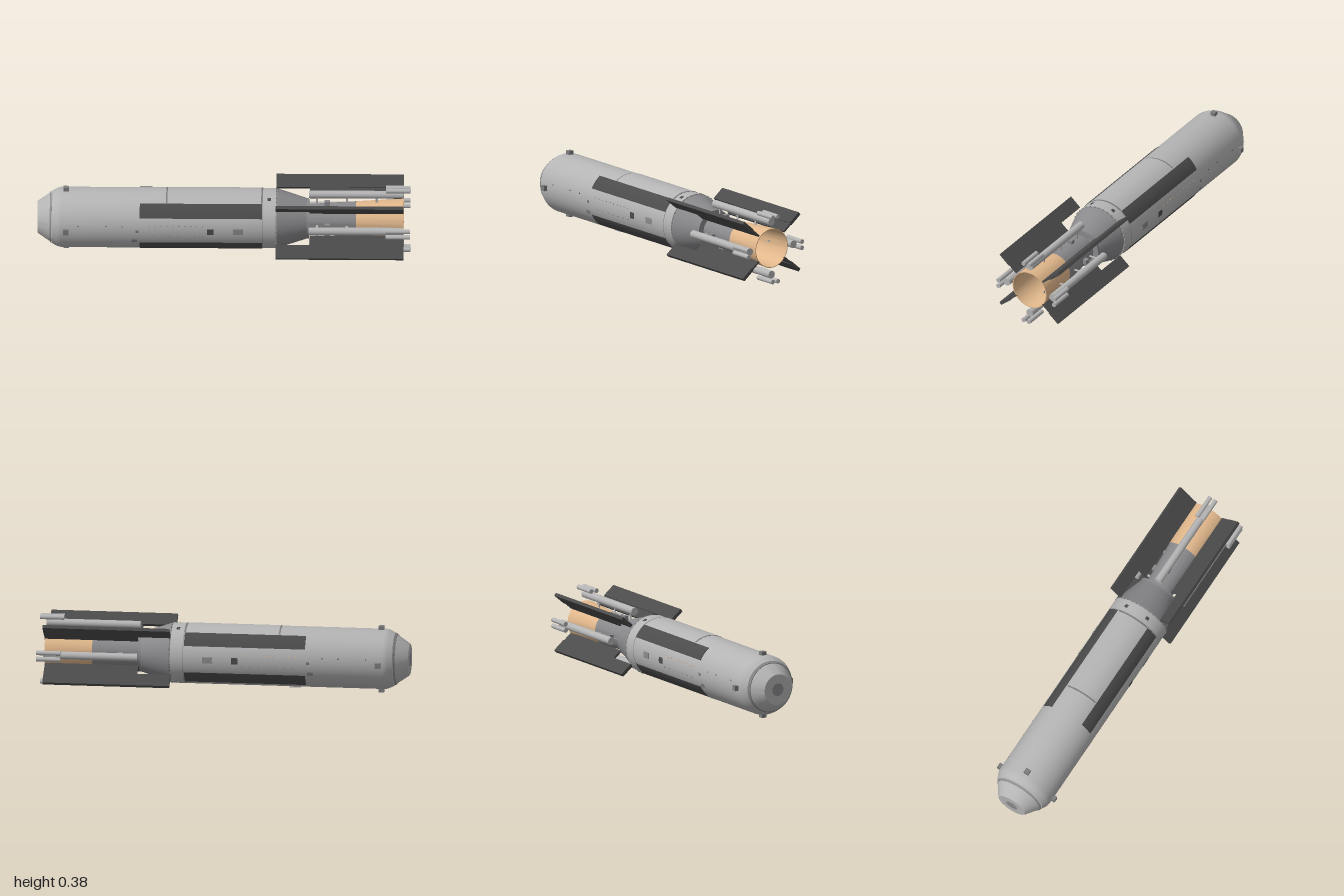
import * as THREE from 'three';
import { toCreasedNormals } from 'three/addons/utils/BufferGeometryUtils.js';

const R = 0.162; // main body radius
const AXIS_Y = 0.193; // height of the long axis
const deg = Math.PI / 180;

export function createModel() {
  const model = new THREE.Group();
  model.name = 'spacecraft';
  const craft = new THREE.Group();
  craft.name = 'craft';
  craft.position.y = AXIS_Y;
  model.add(craft);

  const mat = (name, color) => {
    const m = new THREE.MeshStandardMaterial({ color, side: THREE.DoubleSide });
    m.name = name;
    return m;
  };
  const lightGrey = mat('lightGrey', 0xb4b4b4);
  const midGrey = mat('midGrey', 0x8a8a8d);
  const patchGrey = mat('patchGrey', 0x7c7c7c);
  const darkGrey = mat('darkGrey', 0x4b4b4b);
  const tan = mat('tan', 0xe2b88c);

  const add = (name, geometry, material, parent = craft) => {
    const mesh = new THREE.Mesh(geometry, material);
    mesh.name = name;
    parent.add(mesh);
    return mesh;
  };

  // Surface of revolution about the x axis, from [x, radius] pairs
  const turned = (pairs, start = 0, length = Math.PI * 2, segments = 64) => {
    const g = new THREE.LatheGeometry(pairs.map(([x, r]) => new THREE.Vector2(r, x)), segments, start, length);
    g.rotateZ(-Math.PI / 2);
    return toCreasedNormals(g, 0.3);
  };

  // Thin curved plate on the body; angles run from +z (0) up to +y (90)
  const plate = (name, x0, x1, a0, a1, material, lift = 0.002) =>
    add(name, turned([[x0, R - 0.002], [x0, R + lift], [x1, R + lift], [x1, R - 0.002]],
      -a1 * deg, (a1 - a0) * deg, Math.max(2, Math.ceil((a1 - a0) / 5))), material);

  const rod = (name, x0, x1, r, y, z, material, parent) => {
    const g = new THREE.CylinderGeometry(r, r, x1 - x0, 24);
    g.rotateZ(-Math.PI / 2);
    add(name, g, material, parent).position.set((x0 + x1) / 2, y, z);
  };

  const box = (name, x0, x1, y0, y1, z0, z1, material, parent) =>
    add(name, new THREE.BoxGeometry(x1 - x0, y1 - y0, z1 - z0), material, parent)
      .position.set((x0 + x1) / 2, (y0 + y1) / 2, (z0 + z1) / 2);

  // Nose and main body
  add('nose', turned([[-1, 0], [-1, 0.083], [-0.993, 0.09], [-0.925, 0.136]]), lightGrey);
  add('noseRing', turned([[-0.933, 0.128], [-0.933, 0.134], [-0.925, 0.14], [-0.925, 0.12]]), midGrey);
  add('body', turned([[-0.925, 0.12], [-0.92, 0.142], [-0.895, 0.155], [-0.885, 0.159], [-0.87, R],
    [0.28, R], [0.28, 0.155]]), lightGrey);
  add('noseHub', turned([[-1.0005, 0], [-1.0005, 0.035], [-0.998, 0.035]]), midGrey);

  // Tail cone with its bolted ring
  add('tailCone', turned([[0.28, 0.158], [0.287, 0.16], [0.445, 0.109], [0.457, 0.109], [0.457, 0]]), midGrey);
  for (let i = 0; i < 36; i++) {
    const a = i * 10 * deg;
    const bolt = add('ringBolt', new THREE.BoxGeometry(0.007, 0.005, 0.007), patchGrey);
    bolt.position.set(0.283, Math.sin(a) * 0.16, Math.cos(a) * 0.16);
    bolt.rotation.x = -a;
  }

  // Engine bell: grey upper half, tan skirt and lining, throat disc
  add('bellUpper', turned([[0.457, 0.077], [0.55, 0.083], [0.71, 0.093]]), midGrey);
  add('bellSkirt', turned([[0.71, 0.093], [0.85, 0.102], [0.965, 0.108], [0.965, 0.104],
    [0.85, 0.098], [0.71, 0.089], [0.55, 0.079], [0.47, 0.071]]), tan);
  add('throat', turned([[0.474, 0.073], [0.474, 0]]), midGrey);

  // Four long dark panels along the body
  for (const a of [40.5, 139.5, 220.5, 319.5]) plate('sidePanel', -0.45, 0.205, a - 14.5, a + 14.5, darkGrey, 0.003);

  // Top bands and body seam
  for (const x of [-0.305, 0.205]) plate('topBand', x - 0.004, x + 0.004, 57, 123, patchGrey, 0.001);
  plate('topCover', -0.3, 0.2, 58, 122, lightGrey, 0.002);
  add('bodySeam', turned([[0.208, R], [0.208, R + 0.0007], [0.211, R + 0.0007], [0.211, R]]), midGrey);

  // Small hatches and sensors on both flanks
  for (const c of [0, 180]) {
    const s = c ? -1 : 1;
    const hatch = (x, w, up, h, m) => plate('hatch', x - w / 2, x + w / 2, c + s * up - h / 2, c + s * up + h / 2, m);
    hatch(-0.07, 0.035, 0, 12, darkGrey);
    hatch(0.078, 0.052, 0, 12, midGrey);
    hatch(-0.478, 0.03, -22, 8, midGrey);
    hatch(-0.465, 0.016, 0, 5, patchGrey);
    hatch(0.245, 0.018, 66, 7, darkGrey);
    hatch(0.255, 0.012, -62, 4, darkGrey);
    for (const x of [-0.78, -0.63, -0.545]) hatch(x, 0.006, 10, 2, darkGrey);
    for (let i = 0; i < 10; i++) hatch(-0.4 + i * 0.032, 0.006, 11, 2, c ? tan : midGrey);
    for (let i = 0; i < 7; i++) hatch(-0.38 + i * 0.045, 0.005, -11, 2, midGrey);
  }
  // Belly bracket
  box('bellyBracket', -0.41, -0.35, -0.167, -0.15, -0.028, 0.028, lightGrey);

  // Four quarters: forward thruster block, tail tank, nozzle pair, struts
  for (let i = 0; i < 4; i++) {
    const quarter = new THREE.Group();
    quarter.name = 'quarter';
    quarter.rotation.x = i * Math.PI / 2;
    craft.add(quarter);
    box('thrusterBlock', -0.86, -0.832, 0.155, 0.182, -0.014, 0.014, patchGrey, quarter);
    rod('tailTank', 0.457, 0.965, 0.021, 0.146, 0, lightGrey, quarter);
    for (const z of [-0.017, 0.017]) rod('tailNozzle', 0.87, 1, 0.0125, 0.178, z, lightGrey, quarter);
    for (const x of [0.5, 0.66, 0.82]) box('tankStrut', x - 0.006, x + 0.006, 0.08, 0.14, -0.002, 0.002, lightGrey, quarter);
    box('bellFitting', 0.54, 0.57, 0.075, 0.105, -0.012, 0.012, midGrey, quarter);
  }

  // Four slanted fins: thick outer panel, thin inner web that starts behind the cone
  for (const a of [40, 140, 220, 320]) {
    const fin = new THREE.Group();
    fin.name = 'fin';
    fin.position.y = 0.0085;
    fin.rotation.x = -a * deg;
    craft.add(fin);
    box('finPanel', 0.28, 0.965, -0.009, 0.009, 0.167, 0.244, darkGrey, fin);
    box('finWeb', 0.46, 0.965, -0.005, 0.005, 0.109, 0.168, darkGrey, fin);
  }

  return model;
}
